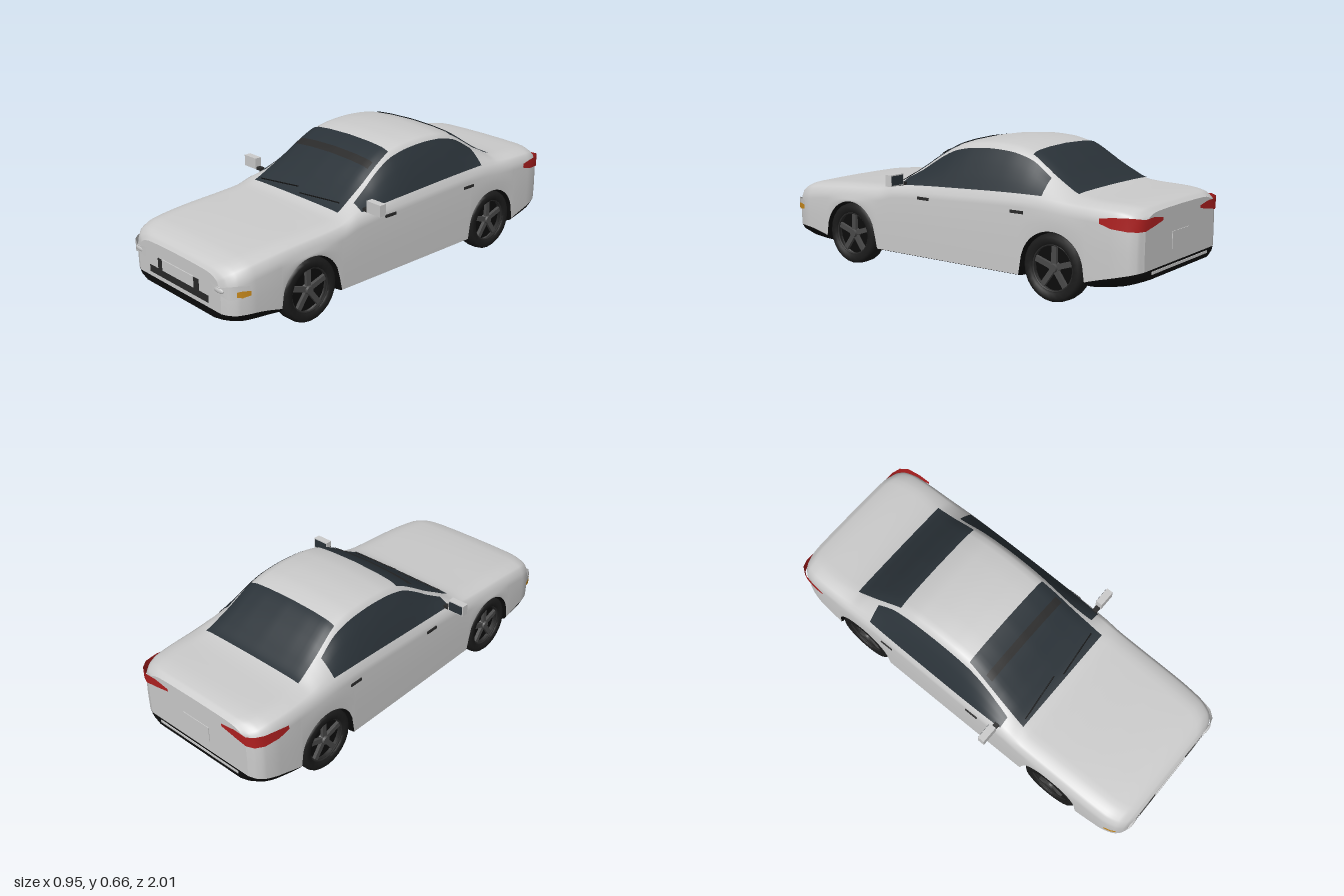
import * as THREE from 'three';

const mat = (color) => new THREE.MeshStandardMaterial({ color, side: THREE.DoubleSide });
const PAINT = mat(0xcccccc), BLACK = mat(0x0c0c0c), GLASS = mat(0x2a3238), TYRE = mat(0x1c1c1c);
const SPOKE = mat(0x4a4a4a), LAMP = mat(0xf2f2f2), AMBER = mat(0xc98a1c), RED = mat(0xb02020), TRIM = mat(0x2a2a2a);

const WHEEL_Z = [0.585, -0.595], WHEEL_R = 0.15, ARCH_R = 0.16;

// Smooth monotone curve through [z, value] pairs, listed from front to back
function curve(points) {
  const p = points.slice().reverse(), n = p.length;
  const d = p.slice(1).map((q, i) => (q[1] - p[i][1]) / (q[0] - p[i][0]));
  const m = p.map((_, i) => {
    if (i === 0) return d[0];
    if (i === n - 1) return d[n - 2];
    return d[i - 1] * d[i] <= 0 ? 0 : (2 * d[i - 1] * d[i]) / (d[i - 1] + d[i]);
  });
  return (z) => {
    let i = 0;
    while (i < n - 2 && z > p[i + 1][0]) i++;
    const h = p[i + 1][0] - p[i][0], t = (z - p[i][0]) / h, t2 = t * t, t3 = t2 * t;
    return (2 * t3 - 3 * t2 + 1) * p[i][1] + (t3 - 2 * t2 + t) * h * m[i]
      + (3 * t2 - 2 * t3) * p[i + 1][1] + (t3 - t2) * h * m[i + 1];
  };
}

// Half width, centre-line height, belt height, roof half width, floor height, skirt top
const width = curve([[1, 0.30], [0.985, 0.335], [0.95, 0.365], [0.88, 0.383], [0.75, 0.388],
  [0, 0.39], [-0.75, 0.388], [-0.88, 0.383], [-0.95, 0.37], [-0.985, 0.345], [-1, 0.31]]);
const top = curve([[1, 0.322], [0.985, 0.34], [0.95, 0.358], [0.88, 0.375], [0.7, 0.392], [0.5, 0.402],
  [0.4, 0.408], [0.35, 0.42], [0.26, 0.478], [0.15, 0.558], [0.05, 0.617], [0, 0.637], [-0.1, 0.655],
  [-0.2, 0.66], [-0.3, 0.655], [-0.41, 0.63], [-0.5, 0.58], [-0.6, 0.508], [-0.67, 0.468],
  [-0.75, 0.457], [-0.9, 0.45], [-0.97, 0.44], [-1, 0.422]]);
const belt = curve([[1, 0.29], [0.985, 0.307], [0.95, 0.326], [0.88, 0.344], [0.7, 0.364], [0.5, 0.376],
  [0.4, 0.385], [0.3, 0.41], [0, 0.43], [-0.5, 0.445], [-0.7, 0.43], [-0.9, 0.42], [-1, 0.392]]);
const roof = curve([[1, 0.24], [0.95, 0.30], [0.88, 0.32], [0.4, 0.325], [0.35, 0.31], [0, 0.272],
  [-0.41, 0.272], [-0.67, 0.305], [-0.8, 0.32], [-0.95, 0.30], [-1, 0.25]]);
const floor = curve([[1, 0.12], [0.9, 0.10], [0.75, 0.09], [-0.75, 0.09], [-0.9, 0.11], [-1, 0.14]]);
const skirt = curve([[1, 0.152], [0.9, 0.15], [0.76, 0.125], [0.7, 0.10], [-0.72, 0.10],
  [-0.77, 0.12], [-0.9, 0.155], [-1, 0.18]]);

function archHeight(z) {
  for (const c of WHEEL_Z) {
    const d = Math.abs(z - c);
    if (d < ARCH_R) return WHEEL_R + Math.sqrt(ARCH_R ** 2 - d * d);
  }
  return 0;
}
const roofDrop = (z) => Math.min(0.035, (top(z) - belt(z)) * 0.3);

// Painted half section from the sill up to the centre line
function paintSection(z) {
  const w = width(z), t = top(z), s = belt(z), r = roof(z), h = roofDrop(z);
  const lo = Math.max(skirt(z), archHeight(z)), a = s - 0.05;
  const side = (f, bulge) => [(w - 0.018) * (1 - f) + r * f + bulge, s * (1 - f) + (t - h) * f];
  return [[w, lo], [w + 0.002, (lo + a) / 2], [w - 0.001, a], [w - 0.006, s - 0.025], [w - 0.018, s],
    side(0.35, 0.006), side(0.7, 0.007), [r, t - h], [r - 0.02, t - 0.6 * h], [r - 0.05, t - 0.35 * h],
    [r * 0.5, t - 0.12 * h], [0, t]];
}
function skirtSection(z) {
  const w = width(z), b = floor(z), k = skirt(z), a = archHeight(z);
  return a ? [[w, a], [w, a], [w, a]] : [[w - 0.05, b], [w - 0.012, (b + k) / 2], [w, k]];
}
function floorSection(z) {
  const w = width(z), b = floor(z), a = archHeight(z), inner = Math.min(0.28, w - 0.05);
  return [[a ? w : w - 0.05, a || b], [inner, a || b], [inner, b], [0, b]];
}

// Read the section at a given x (over the top) or y (on the side)
function onSection(z, value, axis) {
  const p = paintSection(z);
  for (let i = p.length - 1; i > 0; i--) {
    const a = p[i][axis], b = p[i - 1][axis];
    if ((value - a) * (value - b) <= 0 && a !== b) {
      return p[i][1 - axis] + (p[i - 1][1 - axis] - p[i][1 - axis]) * (value - a) / (b - a);
    }
  }
  return p[0][1 - axis];
}

// Surface from rows of [x, y, z] points
function grid(rows) {
  const n = rows[0].length, index = [];
  for (let i = 0; i < rows.length - 1; i++) for (let j = 0; j < n - 1; j++) {
    const a = i * n + j, b = a + n;
    index.push(a, a + 1, b, a + 1, b + 1, b);
  }
  const g = new THREE.BufferGeometry();
  g.setAttribute('position', new THREE.Float32BufferAttribute(rows.flat(2), 3));
  g.setIndex(index);
  g.computeVertexNormals();
  return g;
}
const range = (n, f) => Array.from({ length: n + 1 }, (_, i) => f(i / n));

export function createModel() {
  const car = new THREE.Group();
  const add = (name, geometry, material, x = 0, y = 0, z = 0, parent = car) => {
    const m = new THREE.Mesh(geometry, material);
    m.name = name;
    m.position.set(x, y, z);
    parent.add(m);
    return m;
  };
  const box = (name, material, w, h, d, x, y, z) => add(name, new THREE.BoxGeometry(w, h, d), material, x, y, z);

  // Body shell, skirts and underside, lofted along z with closer sections at the ends
  const stations = range(200, (u) => Math.sin((u - 0.5) * Math.PI));
  const half = (section, z, side) => section(z).map(([x, y]) => [side * x, y, z]);
  add('bodyShell', grid(stations.map((z) =>
    [...half(paintSection, z, 1), ...half(paintSection, z, -1).reverse().slice(1)])), PAINT);
  add('underside', grid(stations.map((z) =>
    [...half(floorSection, z, -1), ...half(floorSection, z, 1).reverse().slice(1)])), BLACK);
  for (const side of [1, -1]) {
    const rows = stations.map((z) => half(skirtSection, z, side));
    add('sideSkirt', grid(side > 0 ? rows : rows.reverse()), BLACK);
  }
  for (const z of [1, -1]) {
    const end = z > 0 ? 'front' : 'rear';
    add(end + 'Panel', grid([half(paintSection, z, -z), half(paintSection, z, z)]), PAINT);
    add(end + 'Bumper', grid([half(skirtSection, z, -z), half(skirtSection, z, z)]), BLACK);
  }

  // Windscreen, rear window and sun strip follow the top of the shell
  const topPatch = (name, material, z0, z1, x0, x1, lift) => add(name, grid(range(20, (u) => {
    const z = z0 + (z1 - z0) * u, w = x0 + (x1 - x0) * u;
    return range(24, (v) => [w * (1 - 2 * v), onSection(z, Math.abs(w * (1 - 2 * v)), 0) + lift, z]);
  })), material);
  topPatch('windscreen', GLASS, 0.005, 0.35, 0.258, 0.293, 0.005);
  topPatch('sunStrip', TRIM, 0.095, 0.13, 0.25, 0.252, 0.009);
  topPatch('rearWindow', GLASS, -0.67, -0.41, 0.29, 0.258, 0.005);

  for (const s of [1, -1]) {
    // Side window between belt and roof
    add('sideWindow', grid(range(40, (u) => {
      const z = -0.53 + 0.8 * u, y0 = belt(z) + 0.008, y1 = top(z) - roofDrop(z) - 0.004;
      return range(8, (v) => {
        const y = y0 + (y1 - y0) * v;
        return [s * (onSection(z, y, 1) + 0.004), y, z];
      });
    })), GLASS);

    // Lamps wrap round the corners: x, z, lower y, upper y
    const lamp = (name, material, pts) => add(name, grid(pts.map(([x, z, y0, y1]) =>
      [[s * x, y0, z], [s * x, y1, z]])), material);
    lamp('headlamp', LAMP, [[0.16, 1.005, 0.235, 0.288], [0.22, 1.005, 0.23, 0.285], [0.3, 1.005, 0.24, 0.272],
      [0.345, 0.99, 0.225, 0.285], [0.372, 0.957, 0.23, 0.288], [0.386, 0.91, 0.25, 0.28]]);
    lamp('indicator', AMBER, [[0.368, 0.966, 0.238, 0.262], [0.38, 0.945, 0.235, 0.265], [0.39, 0.91, 0.24, 0.26]]);
    lamp('tailLamp', RED, [[0.17, -1.004, 0.375, 0.388], [0.25, -1.004, 0.36, 0.4], [0.316, -1.004, 0.35, 0.398],
      [0.352, -0.989, 0.35, 0.405], [0.377, -0.954, 0.352, 0.408], [0.389, -0.885, 0.358, 0.404],
      [0.392, -0.83, 0.375, 0.395]]);
    add('headlampLens', new THREE.SphereGeometry(0.02, 16, 10).scale(1.7, 0.7, 0.4), PAINT, s * 0.29, 0.258, 1.0);

    // Door mirror and handles
    box('doorMirror', PAINT, 0.085, 0.054, 0.034, s * 0.433, 0.455, 0.25);
    box('mirrorGlass', GLASS, 0.074, 0.044, 0.002, s * 0.433, 0.455, 0.232);
    box('mirrorStem', TRIM, 0.05, 0.014, 0.024, s * 0.385, 0.432, 0.25);
    for (const z of [0.115, -0.415]) box('doorHandle', TRIM, 0.008, 0.013, 0.068, s * 0.389, 0.375, z);

    // Wiper lying along the foot of the windscreen
    const wiper = range(6, (u) => {
      const x = s * 0.14 - 0.12 + 0.24 * u, z = 0.335 - 0.025 * u;
      return new THREE.Vector3(x, onSection(z, Math.abs(x), 0) + 0.009, z);
    });
    add('wiper', new THREE.TubeGeometry(new THREE.CatmullRomCurve3(wiper), 12, 0.003, 6), BLACK);

    // Wheels, modelled around x with the outer face towards +x
    for (const z of WHEEL_Z) {
      const wheel = new THREE.Group();
      wheel.name = 'wheel';
      wheel.position.set(s * 0.338, WHEEL_R, z);
      if (s < 0) wheel.rotation.y = Math.PI;
      car.add(wheel);
      const profile = [[0.09, -0.047], [0.135, -0.047], [0.147, -0.036], [0.15, -0.02], [0.15, 0.02],
        [0.147, 0.036], [0.135, 0.047], [0.108, 0.047], [0.1, 0.03]].map(([r, y]) => new THREE.Vector2(r, y));
      add('tyre', new THREE.LatheGeometry(profile, 24).rotateZ(-Math.PI / 2), TYRE, 0, 0, 0, wheel);
      add('rimDisc', new THREE.CylinderGeometry(0.104, 0.104, 0.05, 24).rotateZ(-Math.PI / 2), BLACK, -0.015, 0, 0, wheel);
      add('hub', new THREE.CylinderGeometry(0.018, 0.026, 0.03, 16).rotateZ(-Math.PI / 2), SPOKE, 0.025, 0, 0, wheel);
      for (let i = 0; i < 5; i++) {
        const spoke = new THREE.BoxGeometry(0.016, 0.085, 0.024).translate(0.022, 0.058, 0);
        add('spoke', spoke.rotateX((i * Math.PI * 2) / 5), SPOKE, 0, 0, 0, wheel);
      }
      add('rimEdge', new THREE.TorusGeometry(0.102, 0.005, 6, 24).rotateY(Math.PI / 2), TRIM, 0.034, 0, 0, wheel);
    }
  }

  // Air intake and blank plates
  box('lowerIntake', TRIM, 0.43, 0.032, 0.008, 0, 0.19, 0.999);
  box('plateHolder', TRIM, 0.3, 0.055, 0.008, 0, 0.23, 0.999);
  box('frontPlate', PAINT, 0.23, 0.052, 0.006, 0, 0.235, 1.002);
  box('rearPlate', mat(0xe0e0e0), 0.16, 0.075, 0.006, 0, 0.275, -1.0);
  box('rearBumperStrip', PAINT, 0.5, 0.012, 0.006, 0, 0.165, -1.0);
  return car;
}
